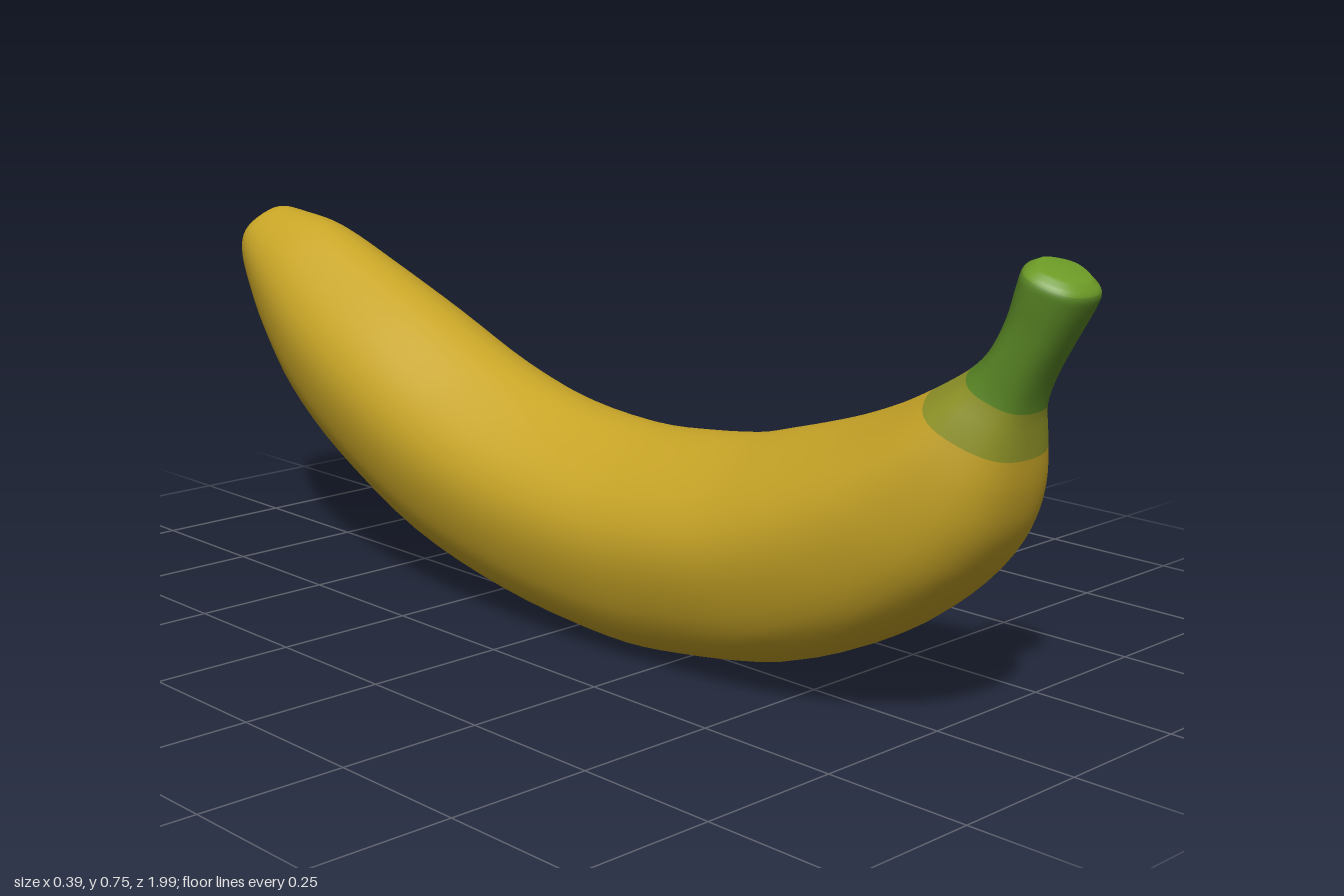
import * as THREE from 'three';

// Stations from stem tip to blossom end:
// [upper z, upper y, lower z, lower y, centre x, half width]
const STATIONS = [
  [0.915, 0.755, 0.985, 0.728, -0.013, 0.042],
  [0.895, 0.745, 0.998, 0.708, -0.013, 0.060],
  [0.885, 0.720, 0.990, 0.685, -0.012, 0.062],
  [0.870, 0.670, 0.965, 0.640, -0.013, 0.058],
  [0.845, 0.620, 0.932, 0.580, -0.014, 0.060],
  [0.810, 0.585, 0.912, 0.530, -0.012, 0.070],
  [0.755, 0.550, 0.902, 0.475, -0.005, 0.098],
  [0.680, 0.510, 0.890, 0.400, 0.003, 0.130],
  [0.600, 0.475, 0.860, 0.320, 0.008, 0.154],
  [0.530, 0.450, 0.790, 0.230, 0.009, 0.171],
  [0.450, 0.425, 0.660, 0.130, 0.008, 0.183],
  [0.360, 0.400, 0.480, 0.050, 0.005, 0.187],
  [0.240, 0.383, 0.280, 0.012, 0.002, 0.187],
  [0.110, 0.375, 0.110, 0.001, -0.003, 0.185],
  [-0.070, 0.390, -0.130, 0.025, -0.010, 0.182],
  [-0.250, 0.437, -0.380, 0.085, -0.016, 0.179],
  [-0.450, 0.515, -0.600, 0.185, -0.019, 0.172],
  [-0.620, 0.580, -0.760, 0.280, -0.020, 0.150],
  [-0.760, 0.630, -0.870, 0.378, -0.020, 0.122],
  [-0.860, 0.645, -0.940, 0.465, -0.021, 0.094],
  [-0.920, 0.648, -0.983, 0.520, -0.022, 0.069],
  [-0.955, 0.625, -0.998, 0.550, -0.022, 0.042],
];
const SIDES = 40;
const STEPS = 4; // rings per station

const material = (name, color) => {
  const m = new THREE.MeshStandardMaterial({ color });
  m.name = name;
  return m;
};

function peelGeometry() {
  const spline = (pick) => new THREE.CatmullRomCurve3(
    STATIONS.map((s) => new THREE.Vector3(...pick(s))), false, 'catmullrom', 0.5);
  const upper = spline((s) => [0, s[1], s[0]]);
  const lower = spline((s) => [0, s[3], s[2]]);
  const width = spline((s) => [s[4], s[5], 0]);

  const positions = [];
  const index = [];
  const rows = (STATIONS.length - 1) * STEPS;
  const at = (k, j) => k * SIDES + (j % SIDES);

  // Softly five-sided rings
  for (let k = 0; k <= rows; k++) {
    const u = upper.getPoint(k / rows);
    const l = lower.getPoint(k / rows);
    const w = width.getPoint(k / rows);
    for (let j = 0; j < SIDES; j++) {
      const a = (j / SIDES) * Math.PI * 2;
      const r = 1 + 0.022 * Math.cos(5 * (a - Math.PI / 2));
      const s = Math.sin(a) * r / 2;
      positions.push(
        w.x + Math.cos(a) * r * w.y,
        (u.y + l.y) / 2 + (u.y - l.y) * s,
        (u.z + l.z) / 2 + (u.z - l.z) * s);
    }
  }
  // Cap centres
  const tip = positions.length / 3;
  positions.push(-0.013, 0.745, 0.952, -0.022, 0.59, -0.99);

  for (let j = 0; j < SIDES; j++) index.push(tip, at(0, j), at(0, j + 1));
  for (let k = 0; k < rows; k++) {
    for (let j = 0; j < SIDES; j++) {
      const a = at(k, j), b = at(k, j + 1), c = at(k + 1, j), d = at(k + 1, j + 1);
      index.push(a, c, b, b, c, d);
    }
  }
  for (let j = 0; j < SIDES; j++) index.push(tip + 1, at(rows, j + 1), at(rows, j));

  const g = new THREE.BufferGeometry();
  g.setAttribute('position', new THREE.Float32BufferAttribute(positions, 3));
  g.setIndex(index);
  g.computeVertexNormals();

  // Colour bands: stem tip, stem, collar, skin
  const ends = [1, 5, 6.25].map((s) => SIDES * 3 + s * STEPS * SIDES * 6);
  [0, ...ends].forEach((start, i) => {
    g.addGroup(start, (ends[i] ?? index.length) - start, i);
  });
  g.computeBoundingBox();
  g.translate(0, -g.boundingBox.min.y, 0);
  return g;
}

export function createModel() {
  const group = new THREE.Group();
  group.name = 'banana';
  const peel = new THREE.Mesh(peelGeometry(), [
    material('tipGreen', 0x6c9a26),
    material('stemGreen', 0x5c8a26),
    material('collarOlive', 0x929628),
    material('skinYellow', 0xc8a527),
  ]);
  peel.name = 'peelAndStem';
  group.add(peel);
  return group;
}
